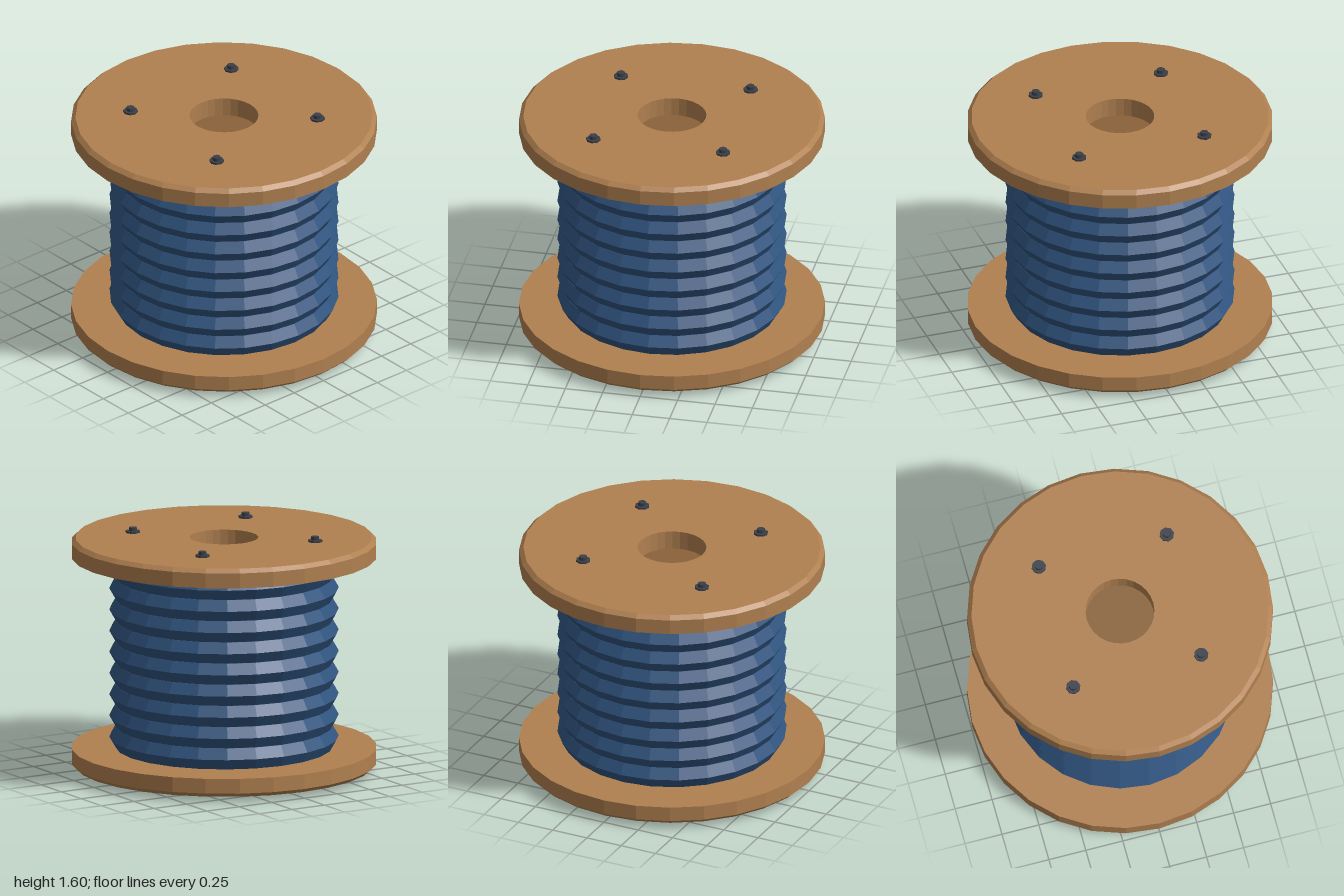
import * as THREE from 'three';

const flat = (name, color) => {
  const m = new THREE.MeshStandardMaterial({ color, flatShading: true });
  m.name = name;
  return m;
};

export function createModel() {
  const wood = flat('wood', 0xb08050);
  const darkWood = flat('dark wood', 0x8a6239);
  const cableBlue = flat('cable blue', 0x30547f);
  const steel = flat('dark steel', 0x3a3f47);

  const group = new THREE.Group();
  const add = (parent, name, geometry, material, x = 0, y = 0, z = 0) => {
    const mesh = new THREE.Mesh(geometry, material);
    mesh.name = name;
    mesh.position.set(x, y, z);
    parent.add(mesh);
    return mesh;
  };

  const midY = 0.7975;      // centre height of the spool
  const innerY = 0.6375;    // flange inner face, from the centre
  const outerY = 0.7625;    // flange outer face, from the centre

  // Flange disc with centre hole and chamfered outer rim
  const flangeGeo = new THREE.LatheGeometry([
    [0.225, innerY], [1, innerY], [1, outerY - 0.026], [0.972, outerY], [0.225, outerY], [0.225, innerY],
  ].map(([r, y]) => new THREE.Vector2(r, y)), 28);
  const washerGeo = new THREE.CylinderGeometry(0.048, 0.048, 0.012, 8);
  const boltGeo = new THREE.CylinderGeometry(0.027, 0.027, 0.035, 8);

  // Each end: flange and four bolts, the lower one turned over
  for (const [name, turn] of [['topEnd', 0], ['bottomEnd', Math.PI]]) {
    const end = new THREE.Group();
    end.name = name;
    end.position.y = midY;
    end.rotation.x = turn;
    add(end, 'flange', flangeGeo, wood);
    for (const x of [-0.433, 0.433]) {
      for (const z of [-0.433, 0.433]) {
        add(end, 'washer', washerGeo, steel, x, outerY + 0.006, z);
        add(end, 'bolt', boltGeo, steel, x, outerY + 0.0175, z);
      }
    }
    group.add(end);
  }

  // Core drum between the flanges; its ends close the centre holes
  add(group, 'core', new THREE.CylinderGeometry(0.62, 0.62, innerY * 2, 24), darkWood, 0, midY, 0);

  // Nine turns of cable with a hexagonal section
  const turns = 9;
  const pitch = (innerY * 2) / turns;
  const cableGeo = new THREE.TorusGeometry(0.669, 0.081, 6, 24).rotateX(Math.PI / 2);
  for (let i = 0; i < turns; i++) {
    add(group, 'cableTurn', cableGeo, cableBlue, 0, midY - innerY + pitch * (i + 0.5), 0);
  }

  return group;
}
